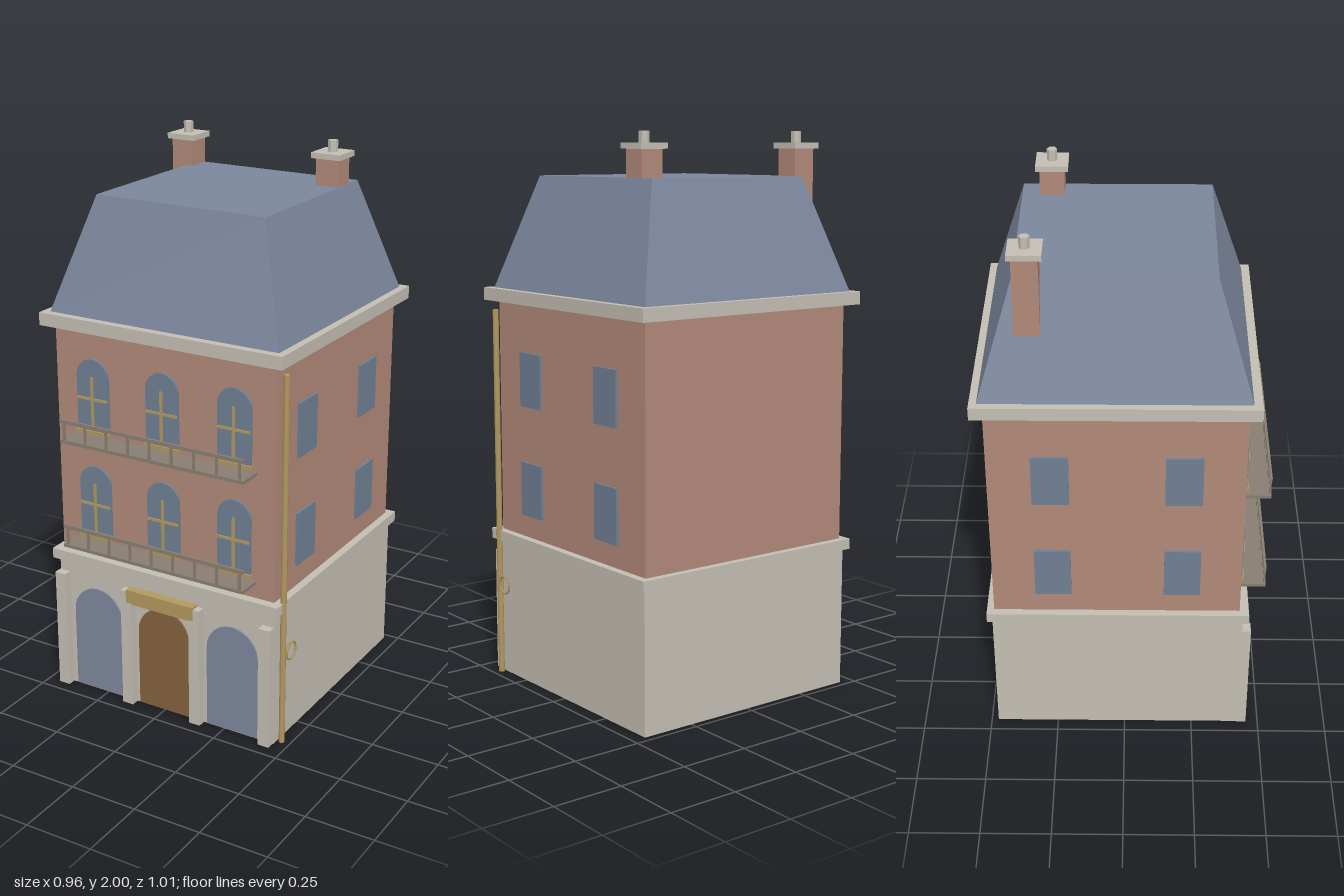
import * as THREE from 'three';

const mat = (name, color) => {
  const m = new THREE.MeshStandardMaterial({ color });
  m.name = name;
  return m;
};

export function createModel() {
  const stone = mat('stone', 0xc3beb3);
  const brick = mat('brick', 0xb08878);
  const slate = mat('slate', 0x7c869c);
  const glass = mat('glass', 0x6f7f93);
  const wood = mat('door wood', 0x82613f);
  const brass = mat('brass', 0xb2985f);
  const iron = mat('balcony iron', 0x887d71);

  const house = new THREE.Group();
  house.name = 'townHouse';
  const add = (name, geo, m, x = 0, y = 0, z = 0, parent = house) => {
    const mesh = new THREE.Mesh(geo, m);
    mesh.name = name;
    mesh.position.set(x, y, z);
    parent.add(mesh);
    return mesh;
  };
  // Box given by its limits on each axis
  const box = (name, m, [x0, x1], [y0, y1], [z0, z1], parent) =>
    add(name, new THREE.BoxGeometry(x1 - x0, y1 - y0, z1 - z0), m,
      (x0 + x1) / 2, (y0 + y1) / 2, (z0 + z1) / 2, parent);
  // Round-topped panel standing on its base line
  const arch = (name, m, x, y, z, w, h, depth) => {
    const r = w / 2;
    const s = new THREE.Shape();
    s.moveTo(-r, 0);
    s.lineTo(r, 0);
    s.lineTo(r, h - r);
    s.absarc(0, h - r, r, 0, Math.PI, false);
    s.lineTo(-r, 0);
    const geo = new THREE.ExtrudeGeometry(s, { depth, bevelEnabled: false, curveSegments: 8 });
    return add(name, geo, m, x, y, z);
  };

  // Main storeys and mouldings
  box('groundFloor', stone, [-0.45, 0.45], [0, 0.51], [-0.475, 0.425]);
  box('ledge', stone, [-0.468, 0.468], [0.507, 0.545], [-0.493, 0.445]);
  box('upperFloors', brick, [-0.44, 0.44], [0.54, 1.41], [-0.467, 0.412]);
  box('cornice', stone, [-0.48, 0.48], [1.397, 1.443], [-0.508, 0.452]);

  // Mansard roof: box whose upper corners are drawn inwards
  const roofGeo = new THREE.BoxGeometry(0.91, 0.41, 0.91);
  const p = roofGeo.attributes.position;
  for (let i = 0; i < p.count; i++) {
    if (p.getY(i) > 0) {
      p.setX(i, Math.sign(p.getX(i)) * 0.33);
      p.setZ(i, Math.sign(p.getZ(i)) * 0.33);
    }
  }
  roofGeo.computeVertexNormals();
  add('mansardRoof', roofGeo, slate, 0, 1.64, -0.03);

  // Chimneys with cap and pot
  for (const [x, z] of [[-0.343, -0.313], [0.283, -0.256]]) {
    const chimney = new THREE.Group();
    chimney.name = 'chimney';
    chimney.position.set(x, 0, z);
    house.add(chimney);
    box('chimneyStack', brick, [-0.043, 0.043], [1.45, 1.942], [-0.043, 0.043], chimney);
    box('chimneyCap', stone, [-0.056, 0.056], [1.94, 1.96], [-0.056, 0.056], chimney);
    const pot = new THREE.CylinderGeometry(0.018, 0.018, 0.045, 6).toNonIndexed();
    pot.computeVertexNormals();
    add('chimneyPot', pot, stone, 0, 1.9775, 0, chimney);
  }

  // Shop front: pilasters, arched panes, door and lintel
  for (const x of [-0.43, -0.143, 0.143, 0.425]) {
    box('pilaster', stone, [x - 0.022, x + 0.022], [0, 0.457], [0.42, 0.456]);
  }
  for (const side of [-1, 1]) arch('shopWindow', slate, side * 0.283, 0.005, 0.423, 0.204, 0.41, 0.008);
  arch('door', wood, 0, 0.005, 0.423, 0.21, 0.402, 0.009);
  box('lintelLower', brass, [-0.12, 0.12], [0.408, 0.46], [0.42, 0.454]);
  box('lintelUpper', brass, [-0.14, 0.14], [0.415, 0.465], [0.42, 0.459]);

  // Upper floors: windows and a balcony on each
  for (const y of [0.62, 1.02]) {
    for (const x of [-0.285, 0, 0.285]) {
      arch('archedWindow', glass, x, y, 0.41, 0.13, 0.275, 0.012);
      box('glazingUpright', brass, [x - 0.005, x + 0.005], [y, y + 0.21], [0.42, 0.427]);
      box('glazingBar', brass, [x - 0.063, x + 0.063], [y + 0.125, y + 0.134], [0.42, 0.427]);
      box('windowSill', brass, [x - 0.07, x + 0.07], [y - 0.002, y + 0.012], [0.41, 0.428]);
    }
    for (const side of [-1, 1]) {
      for (const z of [0.203, -0.252]) {
        const x = side * 0.443;
        box('sideWindow', glass, [x - 0.006, x + 0.006], [y + 0.006, y + 0.202], [z - 0.064, z + 0.064]);
      }
    }
    const balcony = new THREE.Group();
    balcony.name = 'balcony';
    house.add(balcony);
    box('balconyFloor', iron, [-0.37, 0.37], [y - 0.021, y - 0.009], [0.41, 0.506], balcony);
    box('balconyRail', iron, [-0.37, 0.37], [y + 0.053, y + 0.066], [0.497, 0.506], balcony);
    for (let i = -4; i <= 4; i++) {
      const x = i * 0.0885;
      box('balconyPost', iron, [x - 0.004, x + 0.004], [y - 0.012, y + 0.056], [0.498, 0.505], balcony);
    }
  }

  // Downpipe at the front corner and a ring on the side wall
  add('downpipe', new THREE.CylinderGeometry(0.011, 0.011, 1.365, 8), brass, 0.467, 0.6825, 0.395);
  add('wallRing', new THREE.TorusGeometry(0.032, 0.004, 6, 20), brass, 0.476, 0.345, 0.352).rotation.y = Math.PI / 2;

  return house;
}
